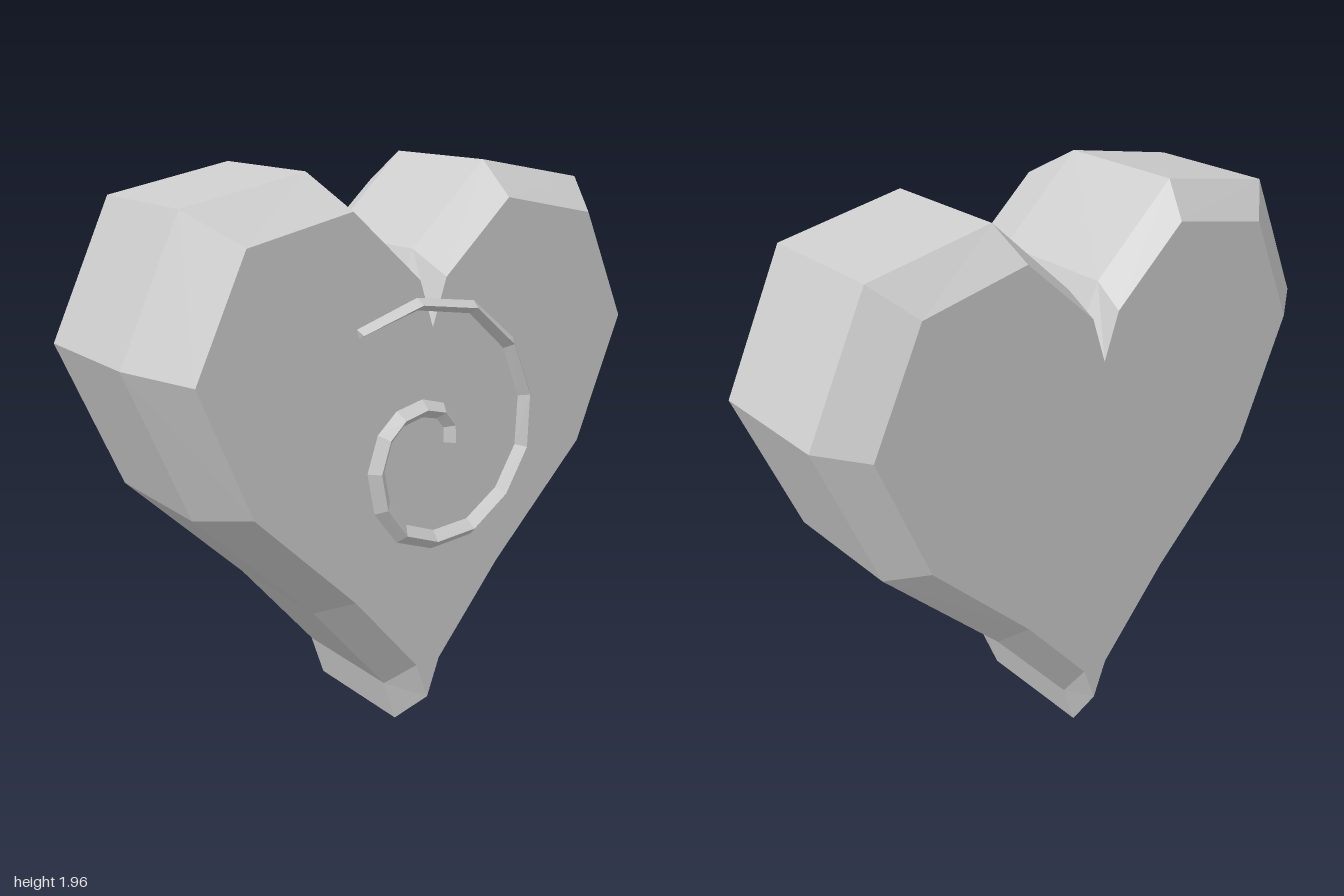
import * as THREE from 'three';

// Right half of the heart: widest outline and bevelled (inset) outline, bottom tip to top notch
const WIDE = [[0, 0], [0.05, 0.155], [0.35, 0.51], [0.79, 0.94], [1, 1.44], [0.79, 1.88], [0.355, 1.96], [0.06, 1.69], [0, 1.56]];
const INSET = [[0, 0.165], [0.05, 0.3], [0.305, 0.6], [0.68, 0.97], [0.86, 1.405], [0.68, 1.78], [0.31, 1.855], [0.053, 1.625], [0, 1.47]];

// Spiral centre line from the outer tip inwards: x, y, half width
const SPIRAL = [
  [-0.305, 1.49, 0.015], [-0.075, 1.555, 0.02], [0.15, 1.52, 0.022], [0.315, 1.38, 0.026],
  [0.395, 1.195, 0.028], [0.39, 1.01, 0.03], [0.3, 0.86, 0.03], [0.16, 0.765, 0.032],
  [0, 0.755, 0.032], [-0.13, 0.805, 0.033], [-0.21, 0.91, 0.034], [-0.235, 1.035, 0.034],
  [-0.2, 1.14, 0.033], [-0.14, 1.195, 0.031], [-0.05, 1.215, 0.03], [0.025, 1.195, 0.028],
  [0.065, 1.145, 0.026], [0.068, 1.085, 0.026],
];

// Mirror a half outline into a closed counter-clockwise ring at depth z
function ring(half, z) {
  const mirrored = half.slice(1, -1).reverse().map(([x, y]) => [-x, y]);
  return [...half, ...mirrored].map(([x, y]) => new THREE.Vector3(x, y, z));
}

// Faceted skin over a row of closed sections, with both ends capped
function loft(sections, capFaces) {
  const points = [];
  const n = sections[0].length;
  for (let s = 0; s < sections.length - 1; s++) {
    const p = sections[s], q = sections[s + 1];
    for (let i = 0; i < n; i++) {
      const j = (i + 1) % n;
      points.push(p[i], p[j], q[j], p[i], q[j], q[i]);
    }
  }
  const first = sections[0], last = sections[sections.length - 1];
  for (const [a, b, c] of capFaces) {
    points.push(first[c], first[b], first[a], last[a], last[b], last[c]);
  }
  const geometry = new THREE.BufferGeometry().setFromPoints(points);
  geometry.computeVertexNormals();
  return geometry;
}

function heartGeometry() {
  const sections = [ring(INSET, -0.39), ring(WIDE, -0.285), ring(WIDE, 0.165), ring(INSET, 0.345)];
  const outline = sections[0].map((p) => new THREE.Vector2(p.x, p.y));
  return loft(sections, THREE.ShapeUtils.triangulateShape(outline, []));
}

// Triangular ridge following the spiral
function spiralGeometry() {
  const sections = SPIRAL.map(([x, y, w], i) => {
    const a = SPIRAL[Math.max(i - 1, 0)], b = SPIRAL[Math.min(i + 1, SPIRAL.length - 1)];
    const side = new THREE.Vector2(a[1] - b[1], b[0] - a[0]).setLength(w);
    return [
      new THREE.Vector3(x + side.x, y + side.y, 0.358),
      new THREE.Vector3(x, y, 0.39),
      new THREE.Vector3(x - side.x, y - side.y, 0.358),
    ];
  });
  // Sections run left edge, crest, right edge
  return loft(sections, [[0, 1, 2]]);
}

export function createModel() {
  const stone = new THREE.MeshStandardMaterial({ color: 0xcccccc, flatShading: true });
  stone.name = 'pale grey';

  const model = new THREE.Group();
  model.name = 'heart';
  const add = (name, geometry) => {
    const mesh = new THREE.Mesh(geometry, stone);
    mesh.name = name;
    model.add(mesh);
  };
  add('heartBody', heartGeometry());
  add('spiralRidge', spiralGeometry());
  return model;
}
